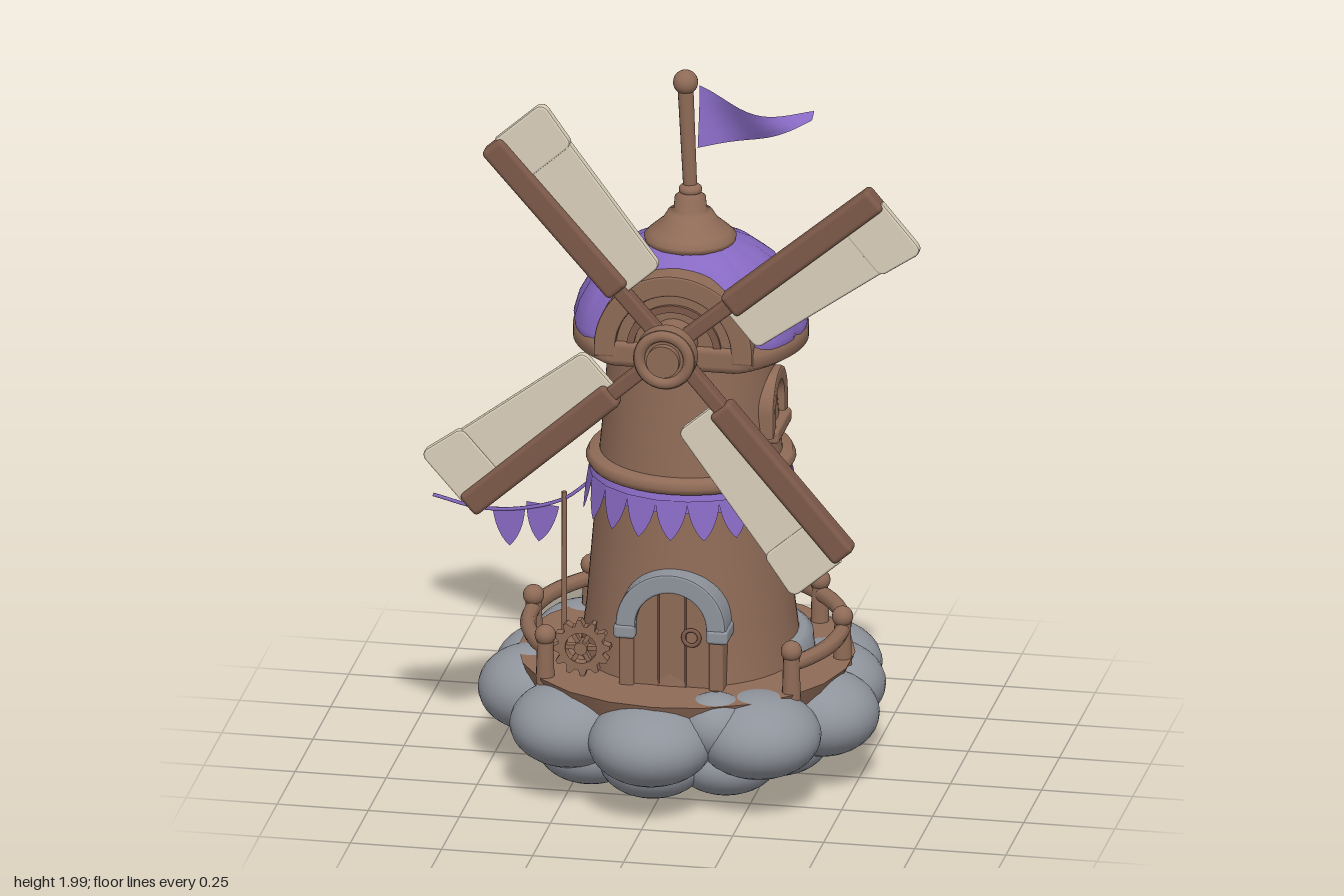
import * as THREE from 'three';
import { RoundedBoxGeometry } from 'three/addons/geometries/RoundedBoxGeometry.js';

const mat = (name, color) => {
  const m = new THREE.MeshStandardMaterial({ color });
  m.name = name;
  return m;
};
const V2 = (p) => p.map(([x, y]) => new THREE.Vector2(x, y));
const rad = THREE.MathUtils.degToRad;

export function createModel() {
  const wood = mat('wood', 0x8f6b57);
  const darkWood = mat('dark wood', 0x7c5949);
  const cloth = mat('purple cloth', 0x8769c2);
  cloth.side = THREE.DoubleSide;
  const stone = mat('grey', 0x8f939b);
  const canvas = mat('cream canvas', 0xd9cfba);

  const model = new THREE.Group();
  const add = (parent, name, geo, material, x = 0, y = 0, z = 0) => {
    const m = new THREE.Mesh(geo, material);
    m.name = name;
    m.position.set(x, y, z);
    parent.add(m);
    return m;
  };
  const group = (parent, name, x = 0, y = 0, z = 0) => {
    const g = new THREE.Group();
    g.name = name;
    g.position.set(x, y, z);
    parent.add(g);
    return g;
  };
  const lathe = (pts, seg = 48) => new THREE.LatheGeometry(V2(pts), seg);
  const cylZ = (r, d) => new THREE.CylinderGeometry(r, r, d, 32).rotateX(Math.PI / 2);
  const extrude = (shape, depth, bevel = 0) => new THREE.ExtrudeGeometry(shape, {
    depth, curveSegments: 16, bevelEnabled: bevel > 0, bevelSize: bevel, bevelThickness: bevel, bevelSegments: 2,
  });
  // Round-topped panel; with an inner radius it becomes an upside-down U
  const archShape = (r, leg, inner = 0) => {
    const s = new THREE.Shape();
    s.moveTo(r, -leg).lineTo(r, 0).absarc(0, 0, r, 0, Math.PI, false).lineTo(-r, -leg);
    if (inner) s.lineTo(-inner, -leg).lineTo(-inner, 0).absarc(0, 0, inner, Math.PI, 0, true).lineTo(inner, -leg);
    s.closePath();
    return s;
  };
  // Flatten the front of a round part behind a plane
  const clampFront = (geo, z) => {
    const p = geo.attributes.position;
    for (let i = 0; i < p.count; i++) p.setZ(i, Math.min(p.getZ(i), z));
    geo.computeVertexNormals();
    return geo;
  };

  // Cloud base: outer puffs, lower puffs and the belly
  const cloud = group(model, 'cloud');
  const puff = (x, y, z, r, ry) =>
    add(cloud, 'puff', new THREE.SphereGeometry(1, 28, 18), stone, x, y, z).scale.set(r, ry, r);
  [[0, 0.37, 0.17], [0.28, 0.29, 0.17], [0.41, 0.06, 0.155], [0.38, -0.13, 0.165], [0.33, -0.31, 0.17],
    [0.11, -0.4, 0.15], [-0.13, -0.4, 0.15], [-0.31, -0.31, 0.15], [-0.38, -0.14, 0.145],
    [-0.39, 0.05, 0.145], [-0.24, 0.27, 0.165]].forEach(([x, z, r], i) =>
    puff(x, 0.215 + 0.012 * (i % 2), z, r, 0.115));
  puff(0.17, 0.26, 0.33, 0.1, 0.09);
  for (let i = 0; i < 9; i++) {
    const a = rad(i * 40 + 12);
    puff(0.29 * Math.cos(a), 0.13, 0.29 * Math.sin(a), 0.145, 0.095);
  }
  for (let i = 0; i < 5; i++) {
    const a = rad(i * 72 + 30);
    puff(0.13 * Math.cos(a), 0.1, 0.13 * Math.sin(a), 0.13, 0.085);
  }
  puff(0, 0.13, 0, 0.2, 0.12);

  // Deck
  add(model, 'deck', new THREE.CylinderGeometry(0.455, 0.43, 0.06, 22), wood, 0.02, 0.305, -0.03);

  // Railing, open at the front
  const railing = group(model, 'railing', 0.02, 0, -0.02);
  add(railing, 'rail', new THREE.TorusGeometry(0.425, 0.022, 8, 64, rad(255)).rotateZ(rad(-37)).rotateX(-Math.PI / 2),
    wood, 0, 0.415, 0);
  for (const d of [37, -4, -43, -92, -115, -138, -176, 142]) {
    const a = rad(d), x = 0.425 * Math.cos(a), z = 0.425 * Math.sin(a);
    add(railing, 'post', new THREE.CylinderGeometry(0.022, 0.026, 0.13, 12), wood, x, 0.38, z);
    add(railing, 'postCap', new THREE.SphereGeometry(0.029, 16, 10), wood, x, 0.452, z);
  }

  // Tower
  const tower = group(model, 'tower', 0.03, 0, -0.04);
  add(tower, 'wall', lathe([[0.3, 0.33], [0.282, 0.47], [0.263, 0.7], [0.248, 0.9], [0.234, 1.05], [0.222, 1.25]]), wood);
  // Stone footing around the right side and back
  const footing = new THREE.LatheGeometry(V2([[0.335, 0.33], [0.33, 0.385], [0.31, 0.4], [0.28, 0.4]]), 32, rad(70), rad(180));
  add(tower, 'footing', footing, stone);
  add(tower, 'beltRing', lathe([[0.24, 0.875], [0.275, 0.878], [0.284, 0.895], [0.275, 0.914], [0.24, 0.918]]), wood);
  add(tower, 'eave', clampFront(lathe([[0.2, 1.215], [0.295, 1.225], [0.318, 1.24], [0.318, 1.275], [0.3, 1.29], [0.2, 1.29]], 64), 0.238), wood);

  // Dome with stitched seams
  const dome = lathe([[0.31, 1.28], [0.313, 1.3], [0.299, 1.35], [0.272, 1.4], [0.232, 1.45], [0.175, 1.495], [0.1, 1.53]], 84);
  const dp = dome.attributes.position;
  for (let i = 0; i < dp.count; i++) {
    const a = Math.atan2(dp.getX(i), dp.getZ(i));
    const k = 1.015 - 0.025 * Math.pow(Math.abs(Math.cos(7 * a)), 12);
    dp.setX(i, dp.getX(i) * k);
    dp.setZ(i, dp.getZ(i) * k);
  }
  add(tower, 'dome', clampFront(dome, 0.2), cloth);

  // Finial and flag pole
  add(tower, 'finial', lathe([[0.1, 1.5], [0.122, 1.515], [0.125, 1.53], [0.11, 1.545], [0.075, 1.575], [0.06, 1.6],
    [0.045, 1.605], [0.042, 1.64], [0.025, 1.655], [0, 1.66]], 32), wood, 0, 0, 0.01);
  const pole = add(tower, 'flagPole', new THREE.CylinderGeometry(0.022, 0.019, 0.33, 12), wood, -0.007, 1.8, 0.007);
  pole.rotation.z = 0.045;
  add(tower, 'poleCollar', new THREE.SphereGeometry(0.032, 16, 10), wood, 0, 1.66, 0.008).scale.y = 0.6;
  add(tower, 'poleBall', new THREE.SphereGeometry(0.034, 20, 14), wood, -0.014, 1.966, 0.005);

  // Waving flag
  const flag = new THREE.PlaneGeometry(1, 1, 16, 4);
  const fp = flag.attributes.position;
  for (let i = 0; i < fp.count; i++) {
    const u = fp.getX(i) + 0.5, v = fp.getY(i) + 0.5;
    const top = 1.95 - 0.05 * u - 0.03 * Math.sin(Math.PI * u);
    const bottom = 1.78 + 0.105 * u - 0.02 * Math.sin(Math.PI * u);
    fp.setXYZ(i, 0.05 + 0.315 * u, bottom + (top - bottom) * v, -0.035 + 0.025 * Math.sin(6 * u + 1.5 * v + 3));
  }
  flag.computeVertexNormals();
  add(model, 'flag', flag, cloth);

  // Pennants hanging round the tower
  const pennant = new THREE.Shape();
  pennant.moveTo(-0.045, 0.01).lineTo(0.045, 0.01).quadraticCurveTo(0.038, -0.065, 0, -0.1).quadraticCurveTo(-0.038, -0.065, -0.045, 0.01);
  const pennantGeo = new THREE.ShapeGeometry(pennant, 6);
  add(tower, 'pennantBand', lathe([[0.277, 0.825], [0.272, 0.85], [0.262, 0.875]]), cloth);
  for (let i = 0; i < 20; i++) {
    const a = (i / 20) * Math.PI * 2;
    const p = add(tower, 'pennant', pennantGeo, cloth, 0.274 * Math.sin(a), 0.85, 0.274 * Math.cos(a));
    p.rotation.set(-0.18, a, 0, 'YXZ');
  }

  // Bunting line on a side pole
  const line = new THREE.CatmullRomCurve3([[-0.23, 0.82], [-0.31, 0.755], [-0.42, 0.72], [-0.54, 0.712], [-0.67, 0.74]]
    .map(([x, y]) => new THREE.Vector3(x, y, 0)));
  add(model, 'buntingLine', new THREE.TubeGeometry(line, 24, 0.005, 6), cloth);
  add(model, 'buntingPole', new THREE.CylinderGeometry(0.007, 0.008, 0.45, 8), wood, -0.31, 0.55, 0);
  for (const [x, y, t] of [[-0.37, 0.725, -0.1], [-0.462, 0.708, 0.02]])
    add(model, 'buntingFlag', pennantGeo, cloth, x, y, 0).rotation.z = t;

  // Door with stone arch, jambs and ring handle
  const door = group(model, 'door', 0.035, 0.51, 0);
  add(door, 'doorPanel', extrude(archShape(0.11, 0.18), 0.1), wood, 0, 0, 0.155);
  for (const x of [-0.037, 0.037]) add(door, 'plankGap', new THREE.BoxGeometry(0.006, 0.27, 0.006), darkWood, x, -0.045, 0.256);
  add(door, 'doorArch', extrude(archShape(0.145, 0.02, 0.103), 0.1, 0.006), stone, 0, 0, 0.17);
  for (const s of [-1, 1]) {
    add(door, 'archFoot', new RoundedBoxGeometry(0.06, 0.04, 0.1, 2, 0.01), stone, s * 0.127, -0.02, 0.23);
    add(door, 'jamb', new RoundedBoxGeometry(0.04, 0.16, 0.11, 2, 0.008), wood, s * 0.123, -0.11, 0.215);
  }
  add(door, 'handle', new THREE.TorusGeometry(0.022, 0.006, 8, 20), darkWood, 0.055, -0.03, 0.262);

  // Arched side window
  const win = group(model, 'window', 0, 1.06, -0.035);
  win.rotation.y = Math.PI / 2;
  add(win, 'windowFrame', extrude(archShape(0.095, 0.06, 0.07), 0.06, 0.008), wood, 0, 0, 0.21);
  add(win, 'windowPane', extrude(archShape(0.075, 0.06), 0.045), stone, 0, 0, 0.21);
  add(win, 'sill', new RoundedBoxGeometry(0.19, 0.04, 0.08, 2, 0.01), wood, 0, -0.065, 0.25);

  // Cogwheel leaning by the tower
  const cog = new THREE.Shape();
  for (let i = 0; i < 48; i++) {
    const a = (i / 48) * Math.PI * 2, r = i % 4 < 2 ? 0.08 : 0.063;
    cog[i ? 'lineTo' : 'moveTo'](r * Math.cos(a), r * Math.sin(a));
  }
  cog.closePath();
  cog.holes.push(new THREE.Path().absarc(0, 0, 0.043, 0, Math.PI * 2, true));
  const gear = group(model, 'cogwheel', -0.22, 0.415, 0.2);
  add(gear, 'cogRim', extrude(cog, 0.03), wood);
  add(gear, 'cogHub', cylZ(0.018, 0.04), wood, 0, 0, 0.015);
  for (let i = 0; i < 3; i++)
    add(gear, 'cogSpoke', new THREE.BoxGeometry(0.1, 0.012, 0.02), wood, 0, 0, 0.015).rotation.z = i * Math.PI / 3;

  // Round housing behind the sails
  const housing = group(model, 'housing', 0.027, 1.275, 0);
  add(housing, 'housingPanel', extrude(archShape(0.195, 0.02), 0.15), wood, 0, 0, 0.03);
  add(housing, 'housingArch', extrude(archShape(0.212, 0.02, 0.165), 0.06, 0.006), wood, 0, 0, 0.134);
  add(housing, 'housingInnerArch', extrude(archShape(0.13, 0.02, 0.11), 0.04), darkWood, 0, 0, 0.15);

  // Hub and four sails
  const wheel = group(model, 'sailWheel', 0.027, 1.3, 0);
  add(wheel, 'axle', cylZ(0.065, 0.16), wood, 0, 0, 0.23);
  add(wheel, 'hub', cylZ(0.085, 0.045), wood, 0, 0, 0.302);
  add(wheel, 'hubRing', new THREE.TorusGeometry(0.068, 0.016, 10, 36), wood, 0, 0, 0.322);
  add(wheel, 'hubCap', cylZ(0.045, 0.05), wood, 0, 0, 0.32);
  const sailShape = (x0, x1, in0, in1) => {
    const s = new THREE.Shape(), c = 0.02;
    s.moveTo(x0, -0.025).lineTo(x0, -in0 + c).quadraticCurveTo(x0, -in0, x0 + c, -in0);
    s.lineTo(x1 - c, -in1).quadraticCurveTo(x1, -in1, x1, -in1 + c).lineTo(x1, -0.025);
    return s.closePath();
  };
  const panels = [sailShape(0.2, 0.63, 0.135, 0.168), sailShape(0.61, 0.74, 0.175, 0.185)];
  for (const d of [40, 131.5, 221.5, -49.5]) {
    const blade = group(wheel, 'blade');
    blade.rotation.z = rad(d);
    add(blade, 'spar', new RoundedBoxGeometry(0.24, 0.04, 0.045, 2, 0.008), darkWood, 0.15, 0, 0.23);
    add(blade, 'beam', new RoundedBoxGeometry(0.53, 0.072, 0.06, 3, 0.014), darkWood, 0.475, 0, 0.232);
    panels.forEach((s, i) => {
      add(blade, 'sailFront', extrude(s, 0.014, 0.006), canvas, 0, 0, 0.224 + 0.003 * i);
      add(blade, 'sailBack', extrude(s, 0.008), stone, 0, 0, 0.214 - 0.002 * i);
    });
  }
  return model;
}
